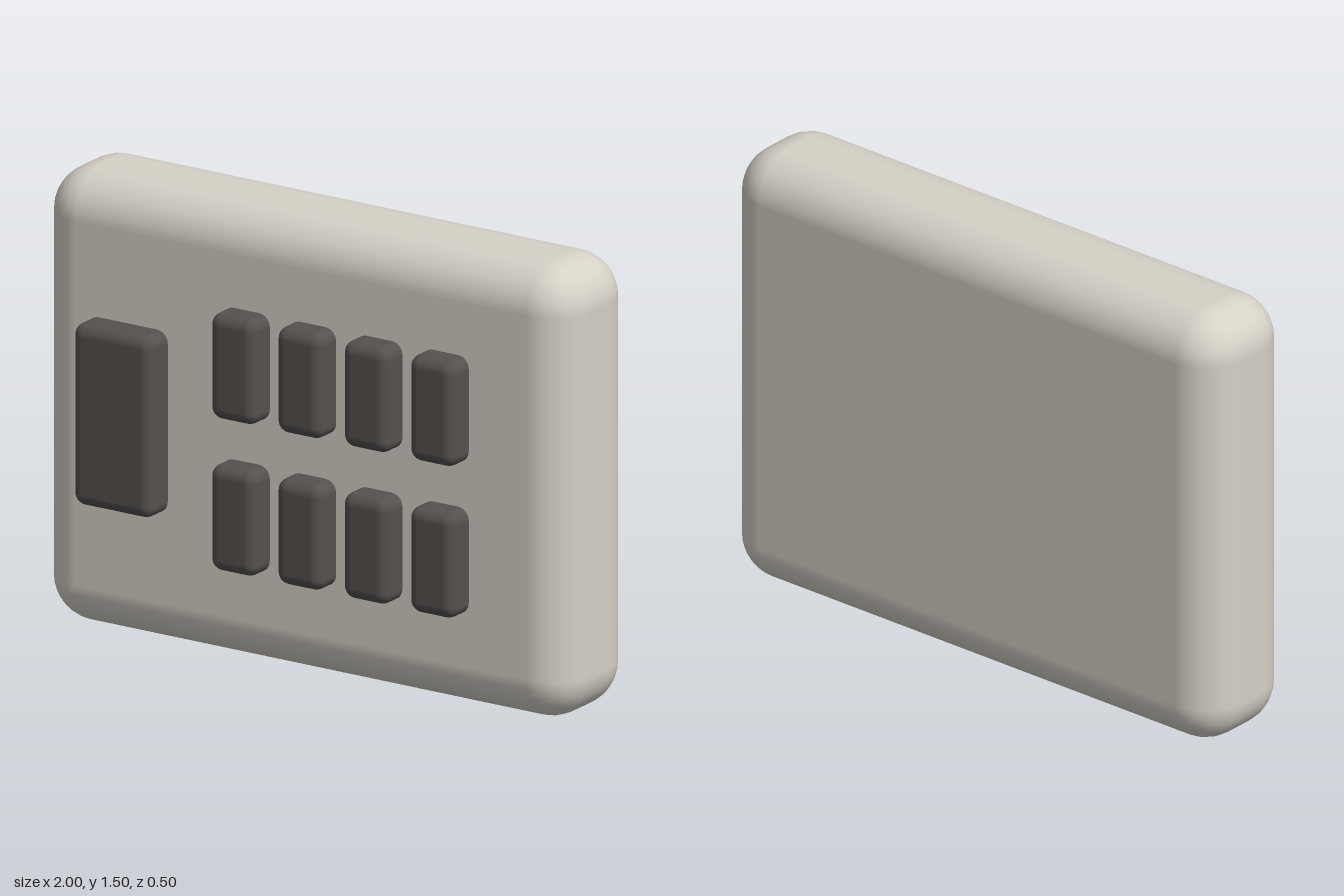
import * as THREE from 'three';
import { RoundedBoxGeometry } from 'three/addons/geometries/RoundedBoxGeometry.js';

export function createModel() {
  const group = new THREE.Group();
  const shell = new THREE.MeshStandardMaterial({ color: 0xd6d1c7 });
  const dark = new THREE.MeshStandardMaterial({ color: 0x55514e });

  // Rounded block given by its size, centre and front plane
  function block(name, material, [w, h, d], radius, x, y, front) {
    const mesh = new THREE.Mesh(new RoundedBoxGeometry(w, h, d, 4, radius), material);
    mesh.name = name;
    mesh.position.set(x, y, front - d / 2);
    group.add(mesh);
  }

  // Slab casing
  block('casing', shell, [2, 1.5, 0.4], 0.15, 0, 0.75, 0.15);

  // Large button on the model's right
  block('largeButton', dark, [0.3, 0.6, 0.15], 0.04, -0.65, 0.75, 0.25);

  // Two rows of four small buttons, sunk into the casing
  for (const y of [1, 0.5]) {
    for (let i = 0; i < 4; i++) {
      block('smallButton', dark, [0.175, 0.35, 0.14], 0.04, -0.203 + i * 0.25, y, 0.24);
    }
  }
  return group;
}
